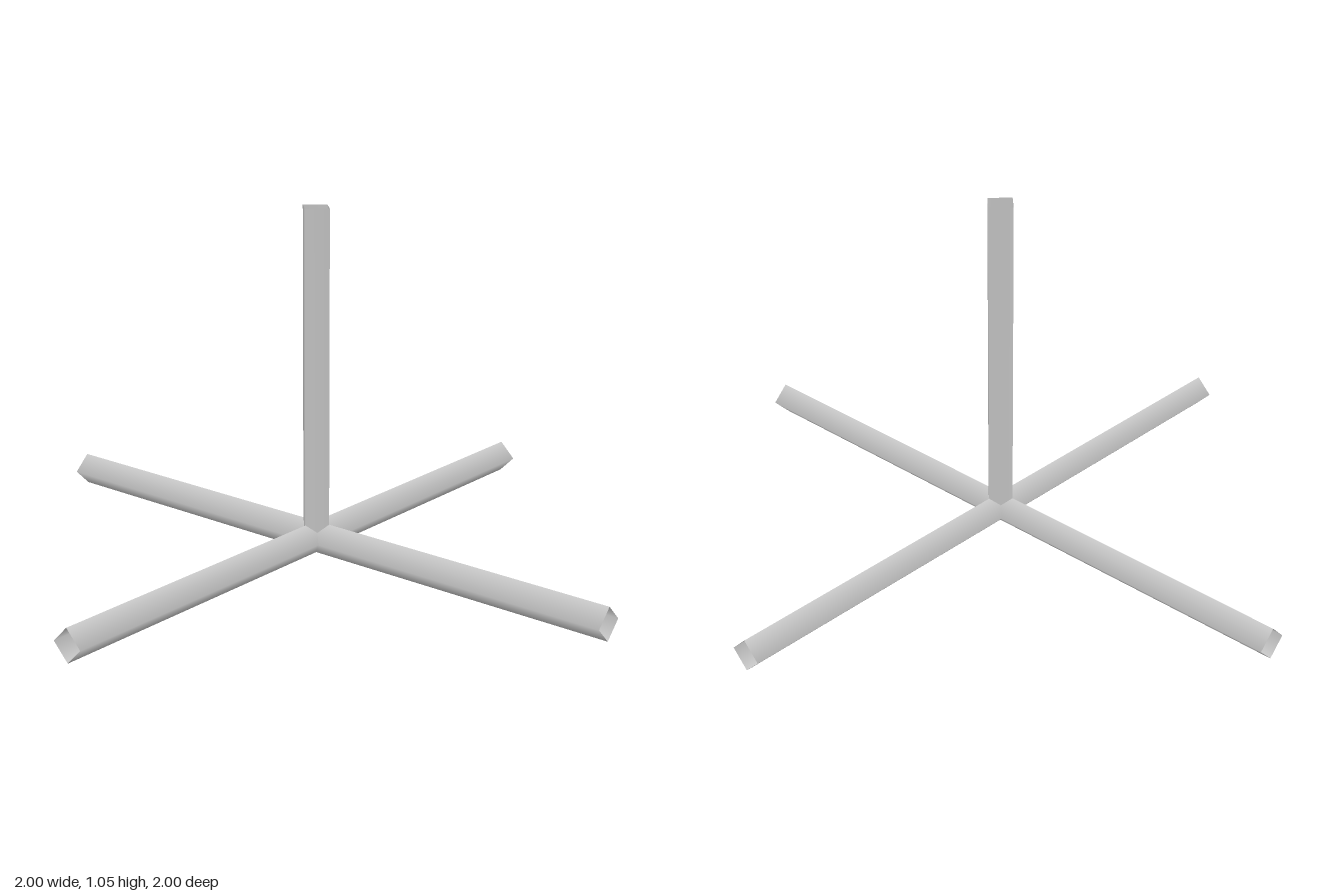
import * as THREE from 'three';

const RADIUS = 0.05;
const LENGTH = 1;

export function createModel() {
  const model = new THREE.Group();
  model.name = 'crossStand';
  const material = new THREE.MeshStandardMaterial({ color: 0xcccccc, side: THREE.DoubleSide });

  // Open four-sided tube with its ridges on the axes, starting at the hub
  const tube = new THREE.CylinderGeometry(RADIUS, RADIUS, LENGTH, 4, 1, true);
  tube.translate(0, LENGTH / 2, 0);

  function addTube(name, rotX, rotZ) {
    const mesh = new THREE.Mesh(tube, material);
    mesh.name = name;
    mesh.position.y = RADIUS;
    mesh.rotation.set(rotX, 0, rotZ);
    model.add(mesh);
  }

  // Upright post
  addTube('post', 0, 0);

  // Four floor arms
  const quarter = Math.PI / 2;
  addTube('leftArm', 0, -quarter);
  addTube('rightArm', 0, quarter);
  addTube('frontArm', quarter, 0);
  addTube('backArm', -quarter, 0);

  return model;
}
